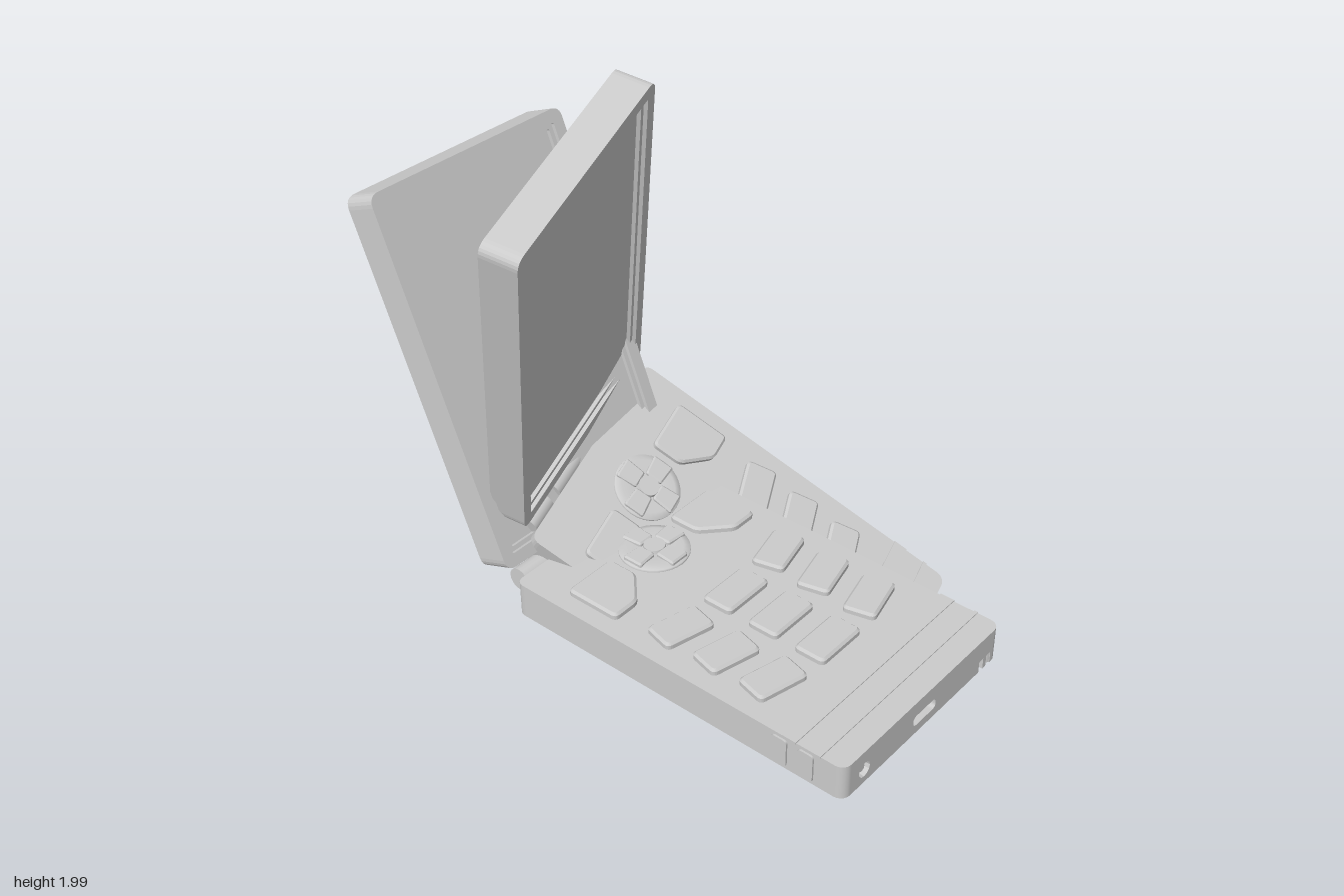
import * as THREE from 'three';

const grey = new THREE.MeshStandardMaterial({ color: 0xcccccc });
const W = 0.72, T = 0.11, L = 1.15; // base width, thickness, length

function add(parent, name, geometry, x = 0, y = 0, z = 0) {
  const mesh = new THREE.Mesh(geometry, grey);
  mesh.name = name;
  mesh.position.set(x, y, z);
  parent.add(mesh);
  return mesh;
}

// Closed outline with rounded corners through the given points
function roundedPoly(points, r, Type = THREE.Shape) {
  const s = new Type();
  const v = points.map(p => new THREE.Vector2(p[0], p[1]));
  v.forEach((p, i) => {
    const prev = v[(i + v.length - 1) % v.length], next = v[(i + 1) % v.length];
    const a = p.clone().add(prev.clone().sub(p).setLength(r));
    const b = p.clone().add(next.clone().sub(p).setLength(r));
    if (i) s.lineTo(a.x, a.y); else s.moveTo(a.x, a.y);
    s.quadraticCurveTo(p.x, p.y, b.x, b.y);
  });
  s.closePath();
  return s;
}
const rect = (x0, y0, x1, y1, r, Type) =>
  roundedPoly([[x0, y0], [x1, y0], [x1, y1], [x0, y1]], r, Type);
const extrude = (shape, depth, bevel = 0) => new THREE.ExtrudeGeometry(shape, {
  depth: depth - bevel, curveSegments: 6, bevelEnabled: bevel > 0,
  bevelSize: bevel, bevelOffset: -bevel, bevelThickness: bevel, bevelSegments: 1,
});

// Raised key lying on the base, outline given in (x, -z)
function key(parent, name, points, x, z, turn = 0, height = 0.02) {
  const g = extrude(roundedPoly(points, 0.018), height, 0.007).rotateX(-Math.PI / 2);
  add(parent, name, g, x, T, z).rotation.y = turn;
}

function createBase() {
  const base = new THREE.Group();
  base.name = 'base';
  const c = 0.03;

  // Body with rounded rear corners and a separate pierced front wall
  const plan = new THREE.Shape();
  plan.moveTo(-W / 2, c);
  plan.lineTo(W / 2, c);
  plan.lineTo(W / 2, L - c);
  plan.quadraticCurveTo(W / 2, L, W / 2 - c, L);
  plan.lineTo(-W / 2 + c, L);
  plan.quadraticCurveTo(-W / 2, L, -W / 2, L - c);
  plan.closePath();
  add(base, 'baseBody', extrude(plan, T).rotateX(-Math.PI / 2));

  // Front wall: two notches at the bottom, round socket and long port
  const wall = new THREE.Shape();
  wall.moveTo(-W / 2 + c, 0);
  for (const x of [0.265, 0.3]) {
    wall.lineTo(x, 0);
    wall.lineTo(x, 0.038);
    wall.lineTo(x + 0.02, 0.038);
    wall.lineTo(x + 0.02, 0);
  }
  wall.lineTo(W / 2 - c, 0);
  wall.lineTo(W / 2 - c, T);
  wall.lineTo(-W / 2 + c, T);
  wall.closePath();
  wall.holes.push(new THREE.Path().absarc(-0.27, 0.045, 0.024, 0, Math.PI * 2, true));
  wall.holes.push(rect(-0.052, 0.028, 0.052, 0.062, 0.015, THREE.Path));
  add(base, 'frontWall', extrude(wall, c), 0, 0, -c);
  add(base, 'socketPin', new THREE.CylinderGeometry(0.012, 0.012, 0.022, 12)
    .rotateX(Math.PI / 2), -0.27, 0.045, -0.02);
  for (const s of [-1, 1]) {
    add(base, 'frontCorner', new THREE.CylinderGeometry(c, c, T, 20),
      s * (W / 2 - c), T / 2, -c);
  }

  // Thin bands across the front end with side grips
  add(base, 'wideBand', new THREE.BoxGeometry(W + 0.004, 0.006, 0.045), 0, T, -0.175);
  add(base, 'narrowBand', new THREE.BoxGeometry(W + 0.004, 0.006, 0.012), 0, T, -0.08);
  for (const s of [-1, 1]) for (const z of [-0.205, -0.12]) {
    add(base, 'sideGrip', extrude(rect(-0.025, -0.045, 0.025, 0.045, 0.012), 0.008)
      .rotateY(s * Math.PI / 2), s * (W / 2 - 0.002), T / 2, z);
  }

  // Number keys: outer columns are turned towards the middle
  for (let row = 0; row < 3; row++) {
    for (let col = -1; col <= 1; col++) {
      const w = col ? 0.081 : 0.088;
      key(base, 'numberKey', [[-w, -0.05], [w, -0.05], [w, 0.05], [-w, 0.05]],
        col * 0.216, -0.642 + row * 0.16 - Math.abs(col) * 0.018, col * 0.24);
    }
  }

  // Cut-corner keys either side of the dial
  for (const s of [-1, 1]) {
    const pts = [[0.13, 0.82], [0.215, 0.82], [0.305, 0.82], [0.305, 1.0], [0.13, 1.0]];
    pts[0][1] = 0.90;
    const out = pts.map(p => [p[0] * s, p[1]]);
    key(base, 'softKey', s > 0 ? out : out.reverse(), 0, 0);
  }

  // Direction dial: rim, domed pad, cross and centre button
  const dial = new THREE.Group();
  dial.name = 'directionDial';
  dial.position.set(0, T, -0.945);
  base.add(dial);
  add(dial, 'dialPad', new THREE.LatheGeometry([[0.105, 0], [0.105, 0.008], [0.085, 0.014],
    [0.05, 0.01], [0, 0.008]].map(p => new THREE.Vector2(...p)), 32));
  for (let i = 0; i < 4; i++) {
    const arm = roundedPoly([[0.03, -0.028], [0.098, -0.034], [0.098, 0.034], [0.03, 0.028]], 0.008);
    add(dial, 'dialArm', extrude(arm, 0.022, 0.005).rotateX(-Math.PI / 2)).rotation.y = i * Math.PI / 2;
  }
  add(dial, 'dialButton', new THREE.CylinderGeometry(0.032, 0.036, 0.02, 24), 0, 0.01, 0);
  return base;
}

function createLid() {
  const lid = new THREE.Group();
  lid.name = 'lid';
  const H = 1.13, depth = 0.108;
  const outline = () => rect(-W / 2, 0, W / 2, H, 0.035);
  // Shell, then two stepped frames around the sunken screen
  add(lid, 'lidShell', extrude(outline(), depth - 0.024));
  const layers = [['innerFrame', 0.052, depth - 0.024], ['outerFrame', 0.038, depth - 0.012]];
  for (const [name, b, z] of layers) {
    const frame = outline();
    frame.holes.push(rect(-W / 2 + b, b, W / 2 - b, H - b, 0.006, THREE.Path));
    add(lid, name, extrude(frame, 0.012), 0, 0, z);
  }
  return lid;
}

function createPhone(name) {
  const phone = new THREE.Group();
  phone.name = name;
  phone.add(createBase());
  const lid = createLid();
  lid.position.set(0, 0.09, -1.28);
  lid.rotation.x = -0.381;
  phone.add(lid);
  // Hinge barrels between base and lid
  for (const [x, len] of [[-0.27, 0.1], [0, 0.36], [0.27, 0.1]]) {
    add(phone, 'hingeBarrel', new THREE.CylinderGeometry(0.036, 0.036, len, 20)
      .rotateZ(Math.PI / 2), x, 0.078, -1.178);
  }
  return phone;
}

export function createModel() {
  const model = new THREE.Group();
  model.name = 'twoFoldingPhones';

  const level = createPhone('levelPhone');
  level.position.set(-0.14, 0.51, 0.85);

  // Second phone stands on its front corner, leaning back and turned
  const tilted = createPhone('tiltedPhone');
  const across = new THREE.Vector3(0.94, 0.257, -0.22).normalize();
  const along = new THREE.Vector3(0.335, -0.53, 0.78);
  const up = new THREE.Vector3().crossVectors(along, across).normalize();
  along.crossVectors(across, up);
  tilted.quaternion.setFromRotationMatrix(new THREE.Matrix4().makeBasis(across, up, along));
  tilted.position.set(0.328, 0.089, 0.42);

  model.add(level, tilted);
  return model;
}
